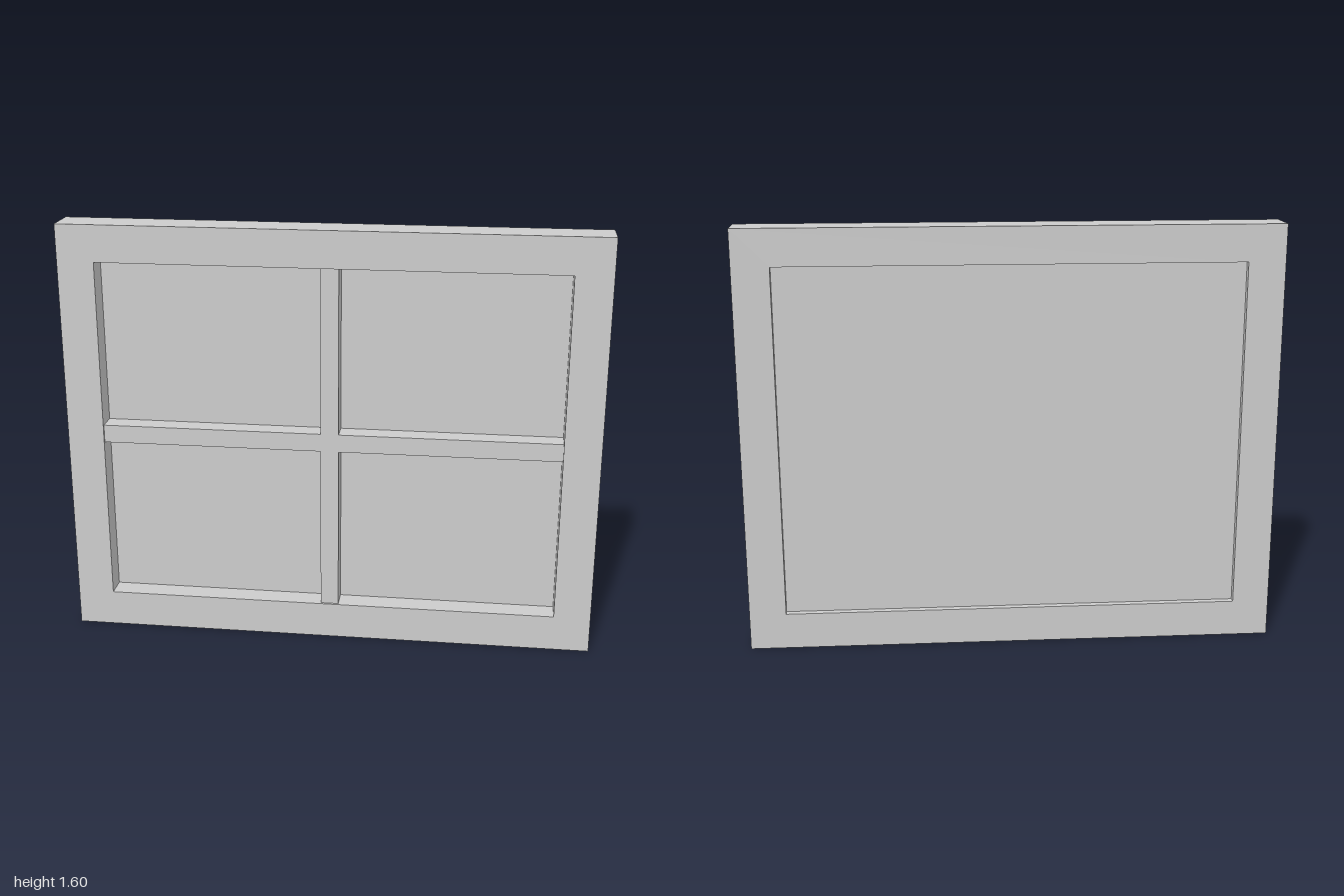
import * as THREE from 'three';

const W = 2, H = 1.6, D = 0.14, BORDER = 0.138, BAR = 0.068;

export function createModel() {
  const group = new THREE.Group();
  group.name = 'window';
  const grey = new THREE.MeshStandardMaterial({ color: 0xcccccc });
  grey.name = 'light grey';

  const add = (name, geometry, x, y, z) => {
    const mesh = new THREE.Mesh(geometry, grey);
    mesh.name = name;
    mesh.position.set(x, y, z);
    group.add(mesh);
  };

  const rectangle = (path, w, h) => {
    path.moveTo(-w / 2, -h / 2);
    path.lineTo(w / 2, -h / 2);
    path.lineTo(w / 2, h / 2);
    path.lineTo(-w / 2, h / 2);
    path.closePath();
    return path;
  };

  // Outer frame with one rectangular opening
  const openW = W - 2 * BORDER, openH = H - 2 * BORDER;
  const outline = rectangle(new THREE.Shape(), W, H);
  outline.holes.push(rectangle(new THREE.Path(), openW, openH));
  const frame = new THREE.ExtrudeGeometry(outline, { depth: D, bevelEnabled: false });
  add('frame', frame, 0, H / 2, -D / 2);

  // Pane set towards the back of the opening
  const paneBack = -0.044, paneFront = -0.017;
  add('pane', new THREE.BoxGeometry(openW, openH, paneFront - paneBack),
    0, H / 2, (paneFront + paneBack) / 2);

  // Crossed glazing bars on the front of the pane, just behind the frame face
  const barFront = 0.061, barDepth = barFront - paneFront;
  const barZ = (barFront + paneFront) / 2;
  add('horizontalBar', new THREE.BoxGeometry(openW, BAR, barDepth), 0, H / 2, barZ);
  const partH = (openH - BAR) / 2;
  for (const side of [-1, 1]) {
    add(side > 0 ? 'upperVerticalBar' : 'lowerVerticalBar',
      new THREE.BoxGeometry(BAR, partH, barDepth),
      0, H / 2 + side * (BAR + partH) / 2, barZ);
  }

  return group;
}
